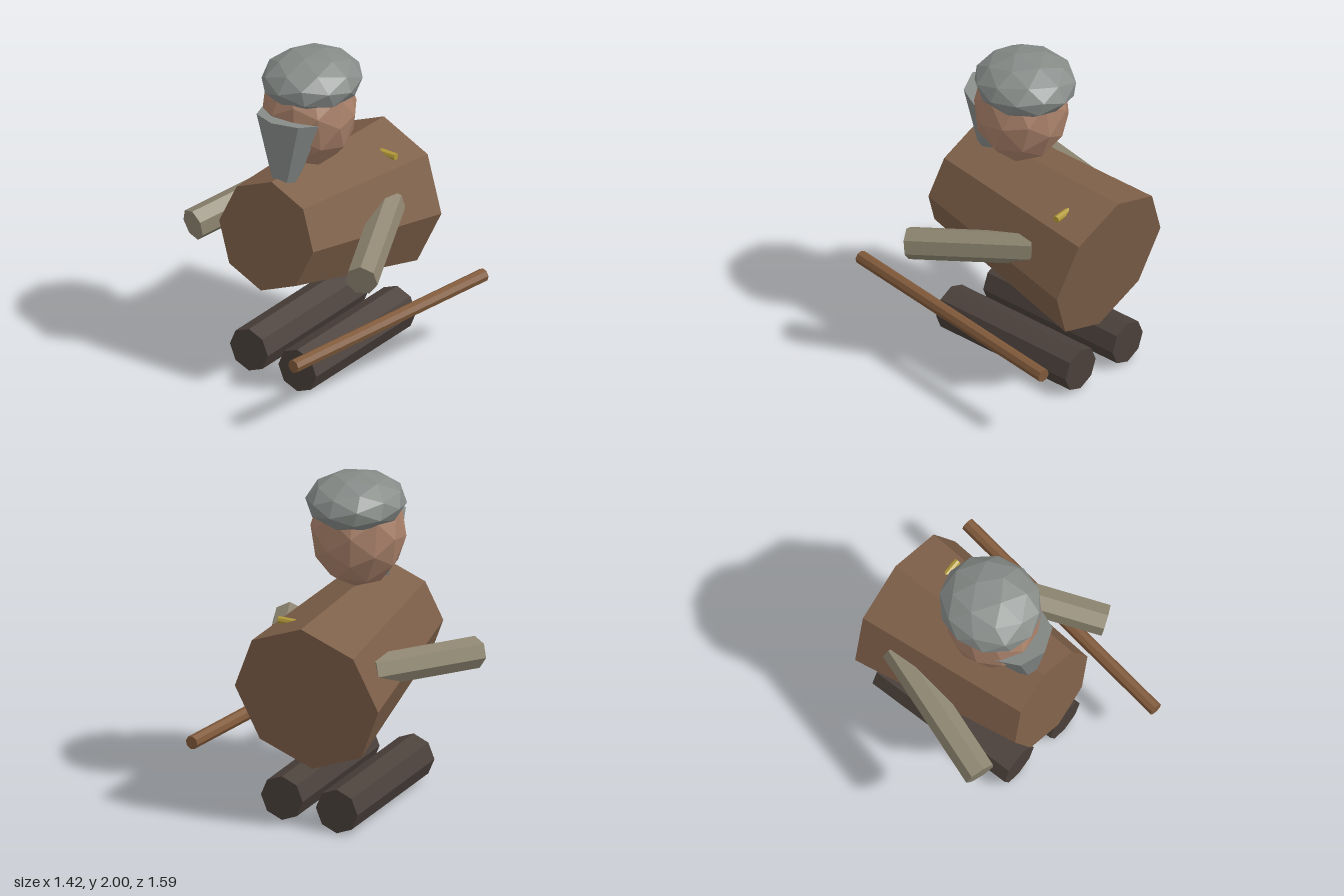
import * as THREE from 'three';

const V = (x, y, z) => new THREE.Vector3(x, y, z);
const UP = V(0, 1, 0);
const CX = -0.04; // middle of body and head

function paint(color) {
  const m = new THREE.MeshStandardMaterial({ flatShading: true });
  m.color.set(color);
  return m;
}

export function createModel() {
  const group = new THREE.Group();
  const brown = paint(0x7d5f48);
  const skin = paint(0xa88069);
  const grey = paint(0x868b88);
  const sleeve = paint(0x8c846f);
  const dark = paint(0x4a403a);
  const wood = paint(0x80593a);
  const brass = paint(0xb39a38);

  const add = (name, geometry, material) => {
    const mesh = new THREE.Mesh(geometry, material);
    mesh.name = name;
    group.add(mesh);
    return mesh;
  };

  // Faceted rod or frustum from point a (radius ra) to point b (radius rb)
  const rod = (name, a, b, ra, rb, sides, material) => {
    const dir = b.clone().sub(a);
    const mesh = add(name, new THREE.CylinderGeometry(rb, ra, dir.length(), sides), material);
    mesh.position.copy(a).add(b).multiplyScalar(0.5);
    mesh.quaternion.setFromUnitVectors(UP, dir.normalize());
    return mesh;
  };

  // Faceted ellipsoid
  const blob = (name, center, radii, turn, material) => {
    const geo = new THREE.IcosahedronGeometry(1, 1);
    geo.rotateY(turn).rotateX(turn * 0.5);
    geo.scale(radii.x, radii.y, radii.z);
    geo.computeVertexNormals();
    const mesh = add(name, geo, material);
    mesh.position.copy(center);
    return mesh;
  };

  // Barrel-like body, wider at the back and tilted up at the front
  rod('body', V(CX, 0.815, -0.695), V(CX, 0.985, 0.393), 0.47, 0.34, 8, brown);

  // Legs lying along the ground, one slightly ahead of the other
  rod('leftLeg', V(0.15, 0.137, -0.64), V(0.15, 0.137, 0.345), 0.137, 0.137, 8, dark);
  rod('rightLeg', V(-0.23, 0.137, -0.68), V(-0.23, 0.137, 0.305), 0.137, 0.137, 8, dark);

  // Arms reaching forward and outward
  rod('leftArm', V(0.27, 0.965, -0.4), V(0.585, 0.85, 0.305), 0.097, 0.097, 7, sleeve);
  rod('rightArm', V(-0.345, 0.98, -0.515), V(-0.62, 0.85, 0.325), 0.097, 0.097, 7, sleeve);

  // Head, cap and beard
  blob('head', V(CX, 1.64, -0.03), V(0.285, 0.34, 0.285), 0.3, skin);
  blob('cap', V(CX, 1.84, -0.06), V(0.295, 0.16, 0.315), 0.5, grey);
  rod('beard', V(CX, 1.285, 0.21), V(CX, 1.67, 0.135), 0.075, 0.213, 8, grey);

  // Brass peg in the body and the walking stick beside it
  rod('peg', V(0.02, 1.203, -0.52), V(0.23, 1.203, -0.52), 0.022, 0.022, 8, brass);
  rod('stick', V(0.665, 0.445, -0.79), V(0.445, 0.445, 0.787), 0.041, 0.041, 8, wood);

  return group;
}
